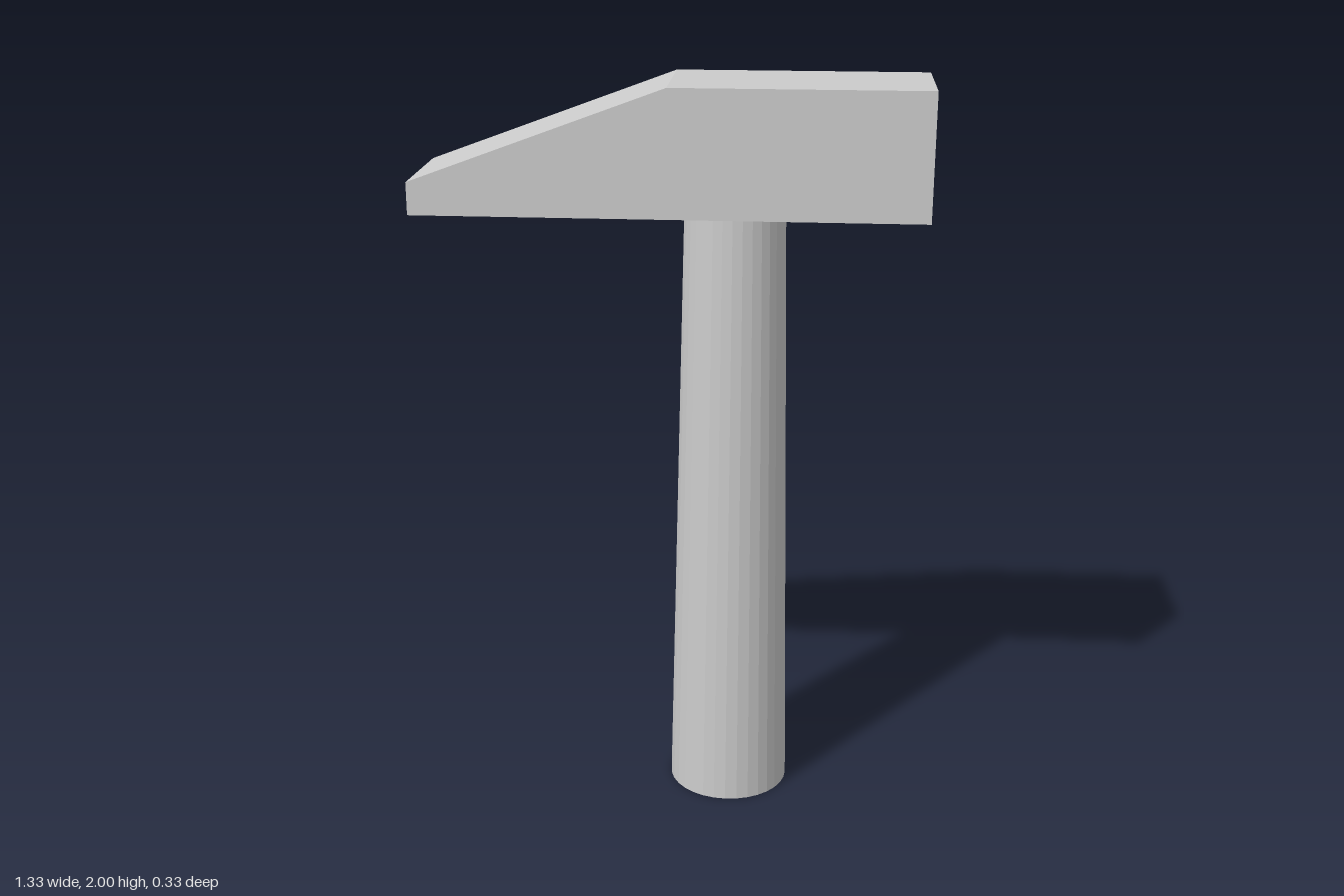
import * as THREE from 'three';

export function createModel() {
  const group = new THREE.Group();
  const material = new THREE.MeshStandardMaterial({ color: 0xcccccc, flatShading: true });
  const headBase = 1.67, halfLength = 0.665, depth = 0.333;

  // Head: side profile with a sloping peen, extruded along z
  const profile = new THREE.Shape([
    new THREE.Vector2(-halfLength, headBase),
    new THREE.Vector2(halfLength, headBase),
    new THREE.Vector2(halfLength, 2),
    new THREE.Vector2(0, 2),
    new THREE.Vector2(-halfLength, 1.755),
  ]);
  const headGeometry = new THREE.ExtrudeGeometry(profile, { depth, bevelEnabled: false });
  headGeometry.translate(0, 0, -depth / 2);
  const head = new THREE.Mesh(headGeometry, material);
  head.name = 'hammerHead';

  // Handle: faceted shaft, narrowing towards the head
  const handle = new THREE.Mesh(new THREE.CylinderGeometry(0.133, 0.166, headBase, 32), material);
  handle.name = 'handle';
  handle.position.set(0.166, headBase / 2, 0);

  group.add(head, handle);
  return group;
}
